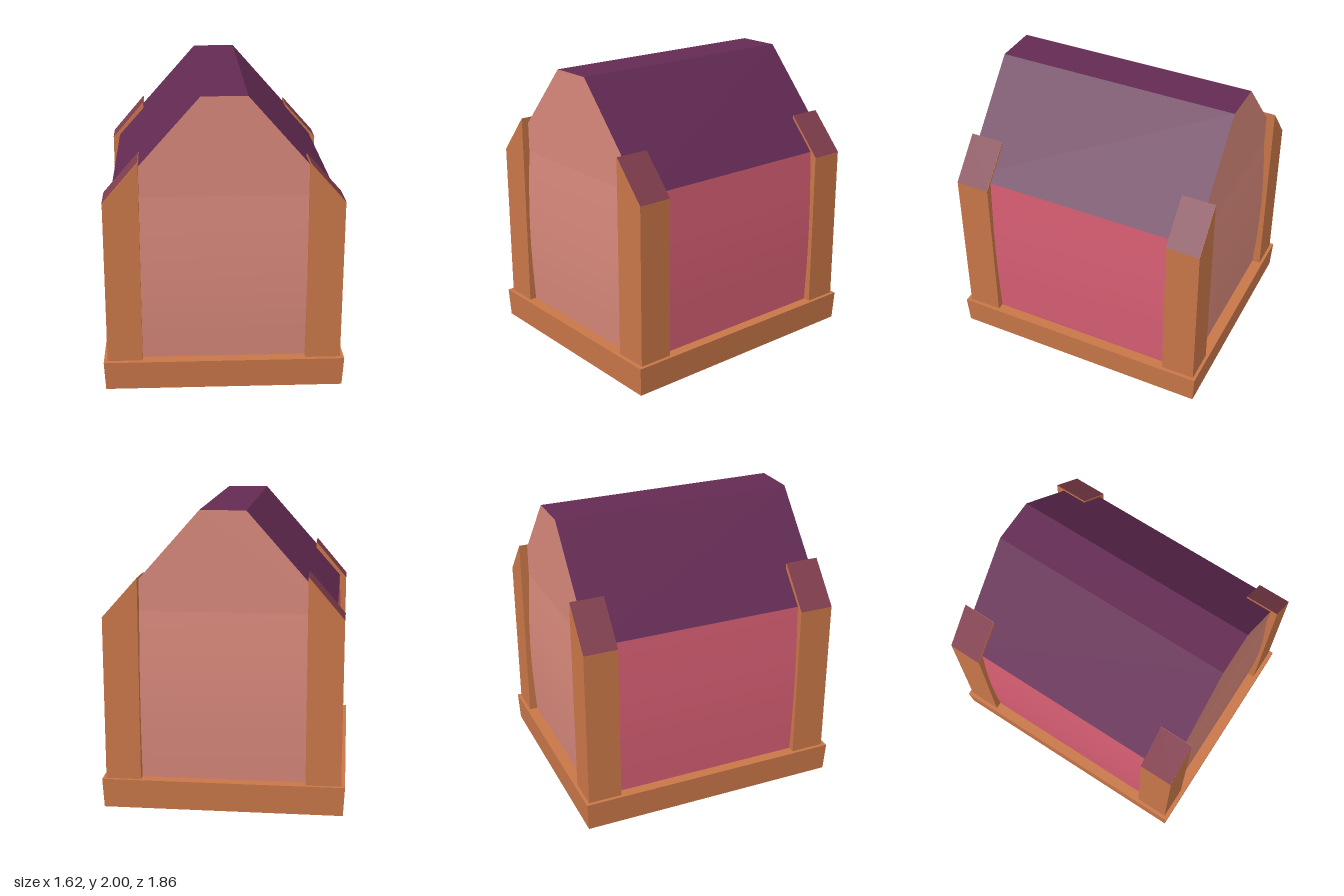
import * as THREE from 'three';

const mat = (name, color) => {
  const m = new THREE.MeshStandardMaterial({ color });
  m.name = name;
  return m;
};

// Vertical strip facing +z: each row is [y, half width, depth]
function stripWall(rows) {
  const pos = [], idx = [];
  rows.forEach(([y, w, d], i) => {
    pos.push(-w, y, d, w, y, d);
    if (i) {
      const a = 2 * (i - 1);
      idx.push(a, a + 1, a + 3, a, a + 3, a + 2);
    }
  });
  const g = new THREE.BufferGeometry();
  g.setAttribute('position', new THREE.Float32BufferAttribute(pos, 3));
  g.setIndex(idx);
  g.computeVertexNormals();
  return g;
}

// Prism from a front outline, spanning z0 to z1
function prism(points, z0, z1) {
  const shape = new THREE.Shape(points.map(([x, y]) => new THREE.Vector2(x, y)));
  const g = new THREE.ExtrudeGeometry(shape, { depth: z1 - z0, bevelEnabled: false });
  return g.translate(0, 0, z0);
}

export function createModel() {
  const root = new THREE.Group();
  root.name = 'house';
  const wood = mat('orange wood', 0xc87648);
  const gablePaint = mat('salmon', 0xd6877a);
  const sidePaint = mat('rose', 0xd65e73);
  const roofPaint = mat('plum', 0x632a53);
  const capPaint = mat('dark rose', 0x803d4d);
  const under = mat('charcoal', 0x242024);

  const add = (name, geometry, material) => {
    const mesh = new THREE.Mesh(geometry, material);
    mesh.name = name;
    root.add(mesh);
    return mesh;
  };

  // Base plinth, slightly wider at the top
  const base = new THREE.BoxGeometry(1.62, 0.2, 1.86).translate(0, 0.1, 0);
  const p = base.attributes.position;
  for (let i = 0; i < p.count; i++) {
    if (p.getY(i) < 0.1) {
      p.setX(i, Math.sign(p.getX(i)) * 0.8);
      p.setZ(i, Math.sign(p.getZ(i)) * 0.92);
    }
  }
  base.computeVertexNormals();
  add('base', base, [wood, wood, wood, under, wood, wood]);

  // Walls bulge gently outward between base and eaves
  const eave = 1.34, gableRows = [], sideRows = [];
  for (let i = 0; i <= 8; i++) {
    const t = i / 8, y = 0.2 + (eave - 0.2) * t, b = Math.sin(Math.PI * t);
    gableRows.push([y, 0.735 + 0.018 * b, 0.85 + 0.024 * b]);
    sideRows.push([y, 0.85 + 0.024 * b, 0.735 + 0.018 * b]);
  }
  for (const turn of [0, 1]) {
    const end = turn ? 'back' : 'front', side = turn ? 'right' : 'left';
    add(end + 'Wall', stripWall(gableRows), gablePaint).rotation.y = turn * Math.PI;
    add(side + 'Wall', stripWall(sideRows), sidePaint).rotation.y = Math.PI / 2 + turn * Math.PI;
  }

  // Roof with a flat ridge; its ends are the gables
  add('roof', prism([[-0.735, eave], [0.735, eave], [0.15, 2], [-0.15, 2]], -0.85, 0.85),
    [gablePaint, roofPaint]);

  // Corner posts with sloping painted tops
  const inner = 0.55, outer = 0.785;
  for (const sx of [-1, 1]) {
    const hi = sx < 0 ? 1.59 : 1.567, lo = sx < 0 ? 1.315 : 1.303;
    const outline = [[sx * inner, 0.2], [sx * outer, 0.2], [sx * outer, lo], [sx * inner, hi]];
    for (const [end, z0, z1] of [['front', 0.662, 0.9], ['back', -0.908, -0.674]]) {
      const label = end + (sx > 0 ? 'Left' : 'Right');
      add(label + 'Post', prism(outline, z0, z1), wood);
      const cap = new THREE.PlaneGeometry(Math.hypot(outer - inner, hi - lo), z1 - z0);
      cap.rotateX(-Math.PI / 2).translate(0, 0.003, 0);
      const mesh = add(label + 'PostCap', cap, capPaint);
      mesh.rotation.z = -sx * Math.atan2(hi - lo, outer - inner);
      mesh.position.set(sx * (inner + outer) / 2, (hi + lo) / 2, (z0 + z1) / 2);
    }
  }
  return root;
}
